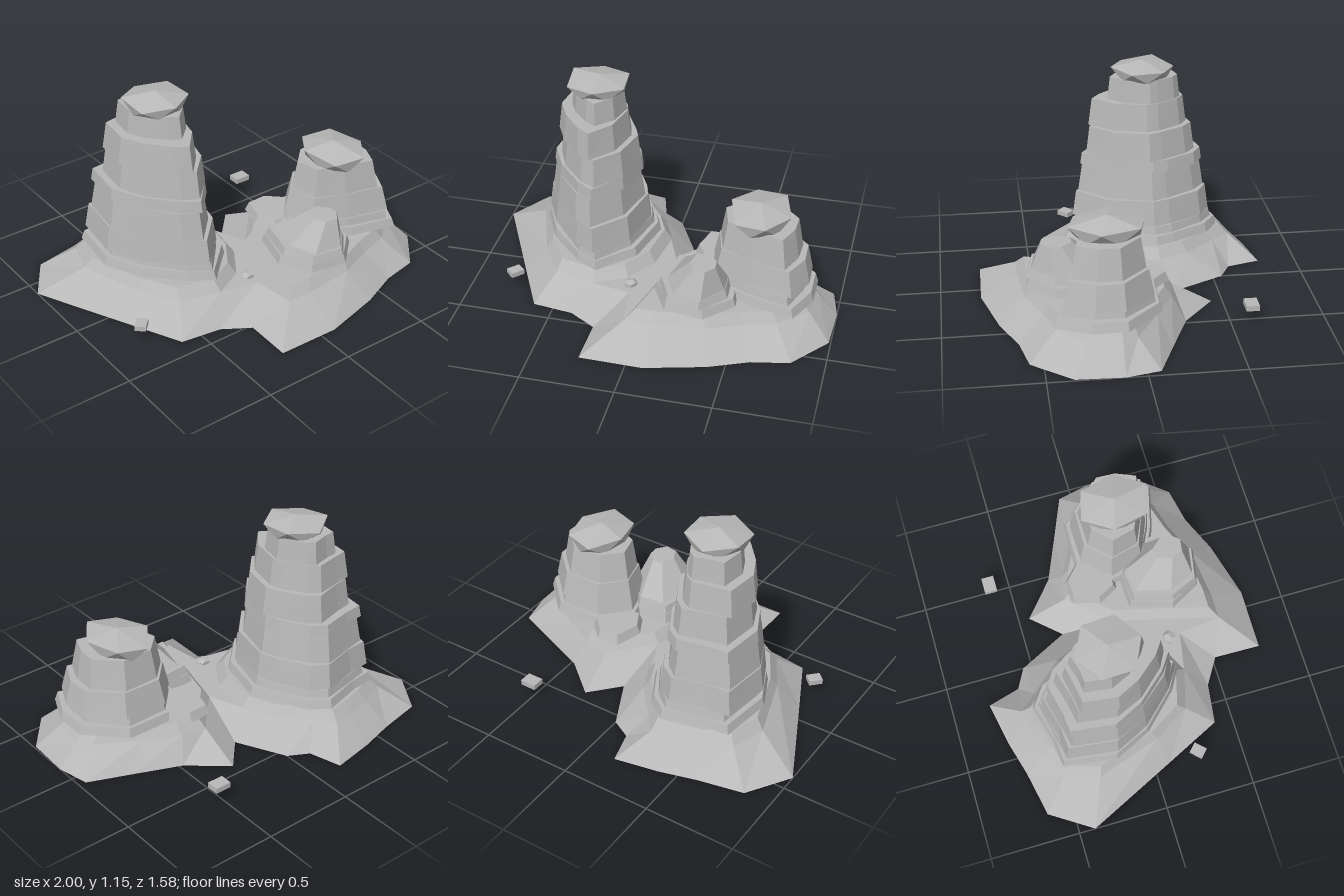
import * as THREE from 'three';

const stone = new THREE.MeshStandardMaterial({ color: 0xb8b8b8, side: THREE.DoubleSide, flatShading: true });
stone.name = 'stone grey';

// Joins rings of [x, y, z] points with walls and caps the ends.
function loft(name, rings, capBottom = true) {
  const pos = [];
  const tri = (...p) => p.forEach(v => pos.push(...v));
  for (let k = 0; k + 1 < rings.length; k++) {
    const lo = rings[k], hi = rings[k + 1];
    for (let i = 0; i < lo.length; i++) {
      const j = (i + 1) % lo.length;
      tri(lo[i], hi[i], lo[j]);
      tri(lo[j], hi[i], hi[j]);
    }
  }
  const cap = (ring, up) => {
    const flat = ring.map(p => new THREE.Vector2(p[0], p[2]));
    for (const [a, b, c] of THREE.ShapeUtils.triangulateShape(flat, [])) {
      if (up) tri(ring[a], ring[c], ring[b]);
      else tri(ring[a], ring[b], ring[c]);
    }
  };
  cap(rings[rings.length - 1], true);
  if (capBottom) cap(rings[0], false);
  const g = new THREE.BufferGeometry();
  g.setAttribute('position', new THREE.Float32BufferAttribute(pos, 3));
  g.computeVertexNormals();
  const mesh = new THREE.Mesh(g, stone);
  mesh.name = name;
  return mesh;
}

// Fits a unit polygon into the bounds [x0, x1, z0, z1] at height y.
function fit(poly, [x0, x1, z0, z1], y, seed) {
  return poly.map(([u, v], i) => {
    const k = 1 - 0.015 * (1 + Math.sin(seed * 2.7 + i * 1.9));
    return [(x0 + x1) / 2 + u * k * (x1 - x0) / 2, y, (z0 + z1) / 2 + v * k * (z1 - z0) / 2];
  });
}

// Stack of tapering strata, each [y0, y1, bottom bounds, inset at the top].
function strata(name, poly, layers) {
  const group = new THREE.Group();
  group.name = name;
  layers.forEach(([y0, y1, b, t], i) => {
    const top = [b[0] + t, b[1] - t, b[2] + t, b[3] - t];
    group.add(loft(name + 'Layer', [fit(poly, b, y0, i), fit(poly, top, y1, i)]));
  });
  return group;
}

// Faceted capstone: a foot turned half a step from the wide rim, and a low peak.
function capstone(name, [x0, x1, z0, z1], y0, y1, y2, turn) {
  const cx = (x0 + x1) / 2, cz = (z0 + z1) / 2;
  const ring = (k, y, twist, wave) => Array.from({ length: 6 }, (_, i) => {
    const a = i / 6 * Math.PI * 2 + turn + twist;
    return [cx + Math.cos(a) * k * (x1 - x0) / 2, y + wave * Math.sin(i * 2.6), cz + Math.sin(a) * k * (z1 - z0) / 2];
  });
  return loft(name, [ring(0.82, y0, -Math.PI / 6, 0), ring(1.03, y1, 0, 0.012), ring(0.02, y2, 0, 0)]);
}

// Slab whose top edge is drawn in towards a centre.
function slab(name, outline, [cx, cz]) {
  return loft(name, [
    outline.map(([x, z]) => [x, 0.13, z]),
    outline.map(([x, z]) => [x + (cx - x) * 0.11, 0.187, z + (cz - z) * 0.11]),
  ]);
}

export function createModel() {
  const model = new THREE.Group();

  // Sloping two-lobed skirt, open underneath: foot and shoulder outlines
  const foot = [[-0.16, -0.79], [-0.11, -0.61], [0, -0.55], [0.135, -0.28], [0.28, -0.44], [0.48, -0.27],
    [0.73, -0.165], [0.96, -0.07], [1, 0.11], [0.99, 0.36], [0.82, 0.57], [0.62, 0.61], [0.41, 0.7],
    [0.09, 0.785], [-0.25, 0.78], [-0.245, 0.52], [-0.39, 0.43], [-0.61, 0.4], [-0.76, 0.09],
    [-1, -0.41], [-0.85, -0.64], [-0.6, -0.69], [-0.4, -0.745]];
  const shoulder = [[-0.28, -0.63], [-0.2, -0.53], [-0.05, -0.36], [0.09, 0], [0.29, -0.22], [0.43, -0.2],
    [0.62, -0.1], [0.84, 0.03], [0.89, 0.11], [0.87, 0.29], [0.72, 0.43], [0.55, 0.48], [0.36, 0.56],
    [0.07, 0.59], [-0.06, 0.59], [-0.09, 0.35], [-0.3, 0.31], [-0.52, 0.25], [-0.64, 0.05],
    [-0.76, -0.31], [-0.7, -0.5], [-0.55, -0.57], [-0.4, -0.61]];
  model.add(loft('baseSlope', [
    foot.map(([x, z]) => [x, 0, z]),
    shoulder.map(([x, z]) => [x, 0.13, z]),
  ], false));

  // One raised slab on each lobe, with a low valley between them
  model.add(slab('tallSlab', [...shoulder.slice(0, 3), [0.02, -0.2], [-0.02, 0.05], [-0.13, 0.22],
    ...shoulder.slice(16)], [-0.37, -0.17]));
  model.add(slab('shortSlab', shoulder.slice(3, 15), [0.45, 0.17]));

  // Tall tower
  const tallPoly = [[-0.88, -0.83], [-0.45, -0.88], [0.23, -1], [0.54, -0.83], [0.9, -0.36], [1, -0.12],
    [0.78, 0.55], [0.23, 1], [-0.14, 0.83], [-0.7, 0.36], [-1, -0.12]];
  model.add(strata('tallTower', tallPoly, [
    [0.185, 0.235, [-0.705, -0.04, -0.57, 0.28], 0.015],
    [0.235, 0.28, [-0.66, -0.08, -0.54, 0.25], 0.01],
    [0.28, 0.42, [-0.685, -0.09, -0.53, 0.25], 0.02],
    [0.42, 0.58, [-0.665, -0.13, -0.495, 0.22], 0.025],
    [0.58, 0.645, [-0.645, -0.135, -0.49, 0.2], 0.01],
    [0.645, 0.8, [-0.605, -0.145, -0.435, 0.175], 0.02],
    [0.8, 0.95, [-0.605, -0.195, -0.4, 0.15], 0.02],
    [0.95, 1.075, [-0.535, -0.225, -0.355, 0.05], 0.015],
  ]));
  model.add(capstone('tallCapstone', [-0.545, -0.205, -0.32, 0.02], 1.063, 1.12, 1.155, 0.45));

  // Short tower, broadest towards the front left
  const shortPoly = [[-0.5, -1], [0.4, -1], [1, -0.3], [1, 0.35], [0.75, 1], [-0.1, 0.75], [-0.82, 0.4], [-1, -0.4]];
  model.add(strata('shortTower', shortPoly, [
    [0.185, 0.235, [0.27, 0.885, -0.12, 0.45], 0.015],
    [0.235, 0.28, [0.31, 0.835, -0.08, 0.41], 0.01],
    [0.28, 0.42, [0.31, 0.855, -0.08, 0.4], 0.03],
    [0.42, 0.585, [0.345, 0.795, -0.035, 0.355], 0.028],
  ]));
  model.add(capstone('shortCapstone', [0.41, 0.735, -0.05, 0.36], 0.567, 0.64, 0.68, 0.2));

  // Broken spire in front of the short tower
  const spirePoly = [[-0.7, -0.95], [0.2, -1], [0.95, -0.3], [1, 0.35], [0.35, 1], [-0.6, 0.85], [-1, 0.1]];
  model.add(strata('frontSpire', spirePoly, [
    [0.185, 0.235, [0.05, 0.5, 0.1, 0.56], 0.015],
    [0.235, 0.28, [0.07, 0.46, 0.12, 0.555], 0.015],
  ]));
  model.add(loft('spireTop', [
    fit(spirePoly, [0.12, 0.44, 0.15, 0.53], 0.28, 3),
    fit(spirePoly, [0.25, 0.39, 0.31, 0.475], 0.425, 3),
  ]));

  // Low ledge behind the short tower
  model.add(strata('backLedge', spirePoly, [[0.185, 0.235, [0.19, 0.48, -0.2, 0.1], 0.02]]));

  // Loose slabs and a pebble
  const addRock = (name, geometry, x, y, z, turn) => {
    const rock = new THREE.Mesh(geometry, stone);
    rock.name = name;
    rock.position.set(x, y, z);
    rock.rotation.y = turn;
    model.add(rock);
  };
  addRock('backSlab', new THREE.BoxGeometry(0.09, 0.03, 0.07), 0.51, 0.09, -0.61, 0);
  addRock('sideSlab', new THREE.BoxGeometry(0.075, 0.028, 0.06), -0.76, 0.088, 0.25, 0.8);
  addRock('pebble', new THREE.DodecahedronGeometry(0.042).scale(1, 0.5, 0.9), -0.1, 0.148, 0.285, 0.4);

  return model;
}
